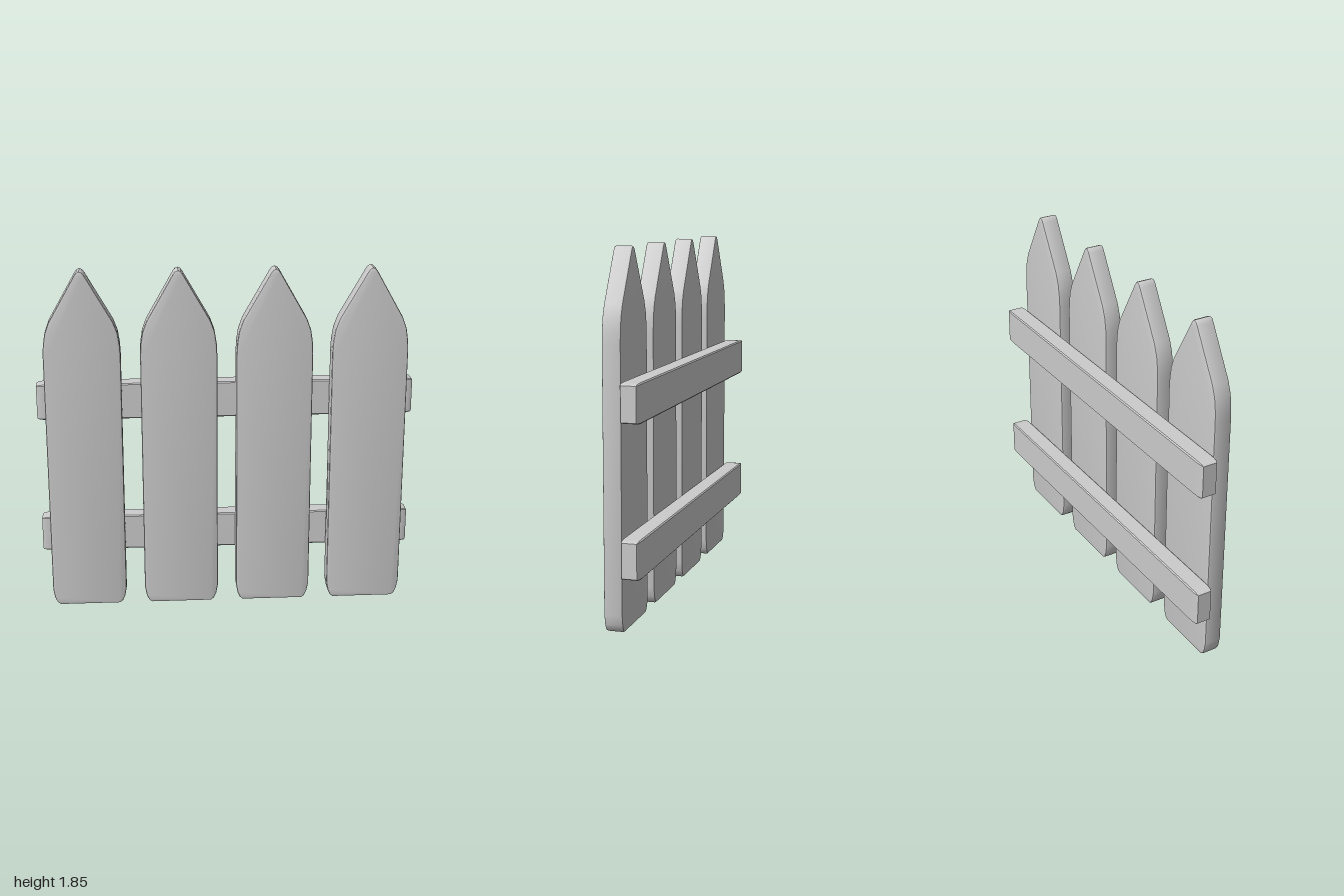
import * as THREE from 'three';
import { toCreasedNormals } from 'three/addons/utils/BufferGeometryUtils.js';

const material = new THREE.MeshStandardMaterial({ color: 0xcccccc });

// Right half of a picket's outline, bottom to top (mirrored for the left half)
const HALF = [
  [0.163, 0], [0.178, 0.012], [0.191, 0.04], [0.2, 0.09],
  [0.2, 1.4], [0.197, 1.46], [0.187, 1.525], [0.165, 1.585],
  [0.025, 1.83], [0.014, 1.845],
];

function picketGeometry() {
  const left = HALF.map(([x, y]) => [-x, y]).reverse();
  const outline = [...HALF, [0, 1.85], ...left].map(([x, y]) => new THREE.Vector2(x, y));
  const bevel = 0.01;
  const geometry = new THREE.ExtrudeGeometry(new THREE.Shape(outline), {
    depth: 0.096 - 2 * bevel, bevelThickness: bevel, bevelSize: bevel,
    bevelOffset: -bevel, bevelSegments: 2,
  });
  geometry.translate(0, 0, 0.002 + bevel);
  return toCreasedNormals(geometry, 0.6);
}

// Rail: chamfered cross-section run along x, narrowing slightly at both ends
function railGeometry() {
  const w = 0.048, h = 0.097, c = 0.006;
  const section = [
    [w, c - h], [w, h - c], [w - c, h], [c - w, h],
    [-w, h - c], [-w, c - h], [c - w, -h], [w - c, -h],
  ].map(([x, y]) => new THREE.Vector2(x, y));
  const taper = 0.06;
  const geometry = new THREE.ExtrudeGeometry(new THREE.Shape(section), {
    depth: 2 - 2 * taper, bevelThickness: taper, bevelSize: 0.01,
    bevelOffset: -0.01, bevelSegments: 3,
  });
  geometry.translate(0, 0, taper - 1);
  geometry.rotateY(Math.PI / 2);
  return toCreasedNormals(geometry, 0.6);
}

export function createModel() {
  const fence = new THREE.Group();
  fence.name = 'picketFence';

  // Four pointed boards in front
  const picket = picketGeometry();
  [-0.75, -0.25, 0.25, 0.75].forEach((x, i) => {
    const mesh = new THREE.Mesh(picket, material);
    mesh.name = `picket${i + 1}`;
    mesh.position.x = x;
    fence.add(mesh);
  });

  // Two cross rails behind
  const rail = railGeometry();
  for (const [name, y] of [['lowerRail', 0.379], ['upperRail', 1.129]]) {
    const mesh = new THREE.Mesh(rail, material);
    mesh.name = name;
    mesh.position.set(0, y, -0.05);
    fence.add(mesh);
  }
  return fence;
}
